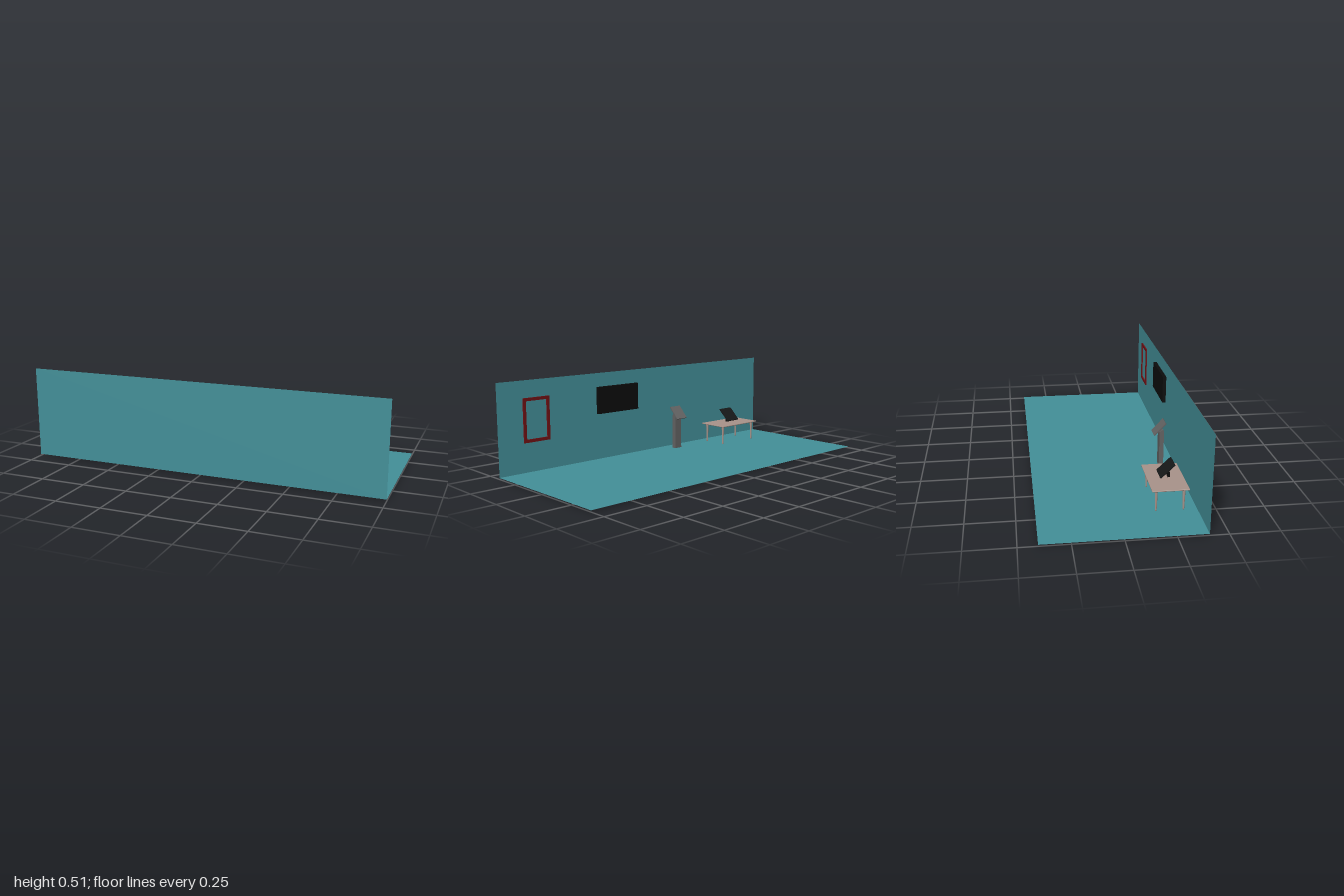
import * as THREE from 'three';
import { RoundedBoxGeometry } from 'three/addons/geometries/RoundedBoxGeometry.js';

const mat = (color, side = THREE.FrontSide) => new THREE.MeshStandardMaterial({ color, side });
const teal = mat(0x438f98, THREE.DoubleSide);
const wood = mat(0xa8938a);
const black = mat(0x0c0c0c);
const screenBlack = mat(0x161818);
const grey = mat(0x626262);
const red = mat(0x701014);

function add(parent, name, geometry, material, x = 0, y = 0, z = 0) {
  const mesh = new THREE.Mesh(geometry, material);
  mesh.name = name;
  mesh.position.set(x, y, z);
  parent.add(mesh);
  return mesh;
}

function group(parent, name, x = 0, y = 0, z = 0) {
  const g = new THREE.Group();
  g.name = name;
  g.position.set(x, y, z);
  parent.add(g);
  return g;
}

// Side profile given as [z, y] points, extruded along x and centred on it
function sideExtrude(points, width) {
  const shape = new THREE.Shape(points.map(([z, y]) => new THREE.Vector2(-z, y)));
  const geo = new THREE.ExtrudeGeometry(shape, { depth: width, bevelEnabled: false });
  return geo.translate(0, 0, -width / 2).rotateY(Math.PI / 2);
}

export function createModel() {
  const model = new THREE.Group();
  model.name = 'exhibitRoom';
  const edgeZ = 0.4035, floorY = 0.008, wallTop = 0.513;

  // Floor and single wall, both thin sheets
  add(model, 'floor', new THREE.PlaneGeometry(2, edgeZ * 2).rotateX(-Math.PI / 2), teal, 0, floorY, 0);
  add(model, 'wall', new THREE.PlaneGeometry(2, wallTop - floorY).rotateY(Math.PI), teal,
    0, (wallTop + floorY) / 2, edgeZ);

  // Open picture frame hung on the wall
  const w = 0.165, h = 0.244, bar = 0.017;
  const outline = new THREE.Shape([[-1, -1], [1, -1], [1, 1], [-1, 1]]
    .map(([x, y]) => new THREE.Vector2(x * w / 2, y * h / 2)));
  outline.holes.push(new THREE.Path([[-1, -1], [-1, 1], [1, 1], [1, -1]]
    .map(([x, y]) => new THREE.Vector2(x * (w / 2 - bar), y * (h / 2 - bar)))));
  add(model, 'pictureFrame', new THREE.ExtrudeGeometry(outline, { depth: 0.007, bevelEnabled: false }),
    red, 0.763, 0.295, edgeZ - 0.0075);

  // Wall screen
  add(model, 'wallScreen', new THREE.BoxGeometry(0.294, 0.156, 0.02), black, 0.21, 0.355, 0.392);

  // Desk with four tapered legs
  const desk = group(model, 'desk', -0.611, 0, 0.264);
  add(desk, 'deskTop', new RoundedBoxGeometry(0.315, 0.007, 0.19, 2, 0.003), wood, 0, 0.1245, 0);
  const legProfile = [[0, 0.006], [0.0042, 0.006], [0.0046, 0.014], [0.0075, 0.116], [0.0075, 0.122], [0, 0.122]]
    .map(([r, y]) => new THREE.Vector2(r, y));
  for (const sx of [-1, 1]) {
    for (const sz of [-1, 1]) {
      add(desk, 'deskLeg', new THREE.LatheGeometry(legProfile, 16), wood, sx * 0.133, 0, sz * 0.07);
    }
  }

  // Tilted display on a bent stand
  const display = group(model, 'deskDisplay', -0.61, 0, 0);
  add(display, 'displayStand', sideExtrude([[0.288, 0.127], [0.276, 0.127], [0.276, 0.151],
    [0.264, 0.177], [0.275, 0.183], [0.288, 0.153]], 0.024), black);
  const displayPanel = add(display, 'displayPanel', new THREE.BoxGeometry(0.1, 0.006, 0.1), screenBlack,
    0, 0.177, 0.267);
  displayPanel.rotation.x = -0.76;

  // Standing kiosk: column, bracket and tilted panel
  const kiosk = group(model, 'kiosk', -0.2, 0, 0);
  add(kiosk, 'kioskColumn', sideExtrude([[0.3365, 0], [0.3117, 0], [0.3117, 0.207], [0.322, 0.219],
    [0.328, 0.222], [0.333, 0.221], [0.3365, 0.213]], 0.05), grey);
  const bracket = add(kiosk, 'kioskBracket', new THREE.BoxGeometry(0.04, 0.01, 0.034), grey, 0, 0.222, 0.314);
  bracket.rotation.x = -0.82;
  const kioskPanel = add(kiosk, 'kioskPanel', new THREE.BoxGeometry(0.08, 0.006, 0.093), grey, 0, 0.231, 0.311);
  kioskPanel.rotation.x = -0.82;

  return model;
}
